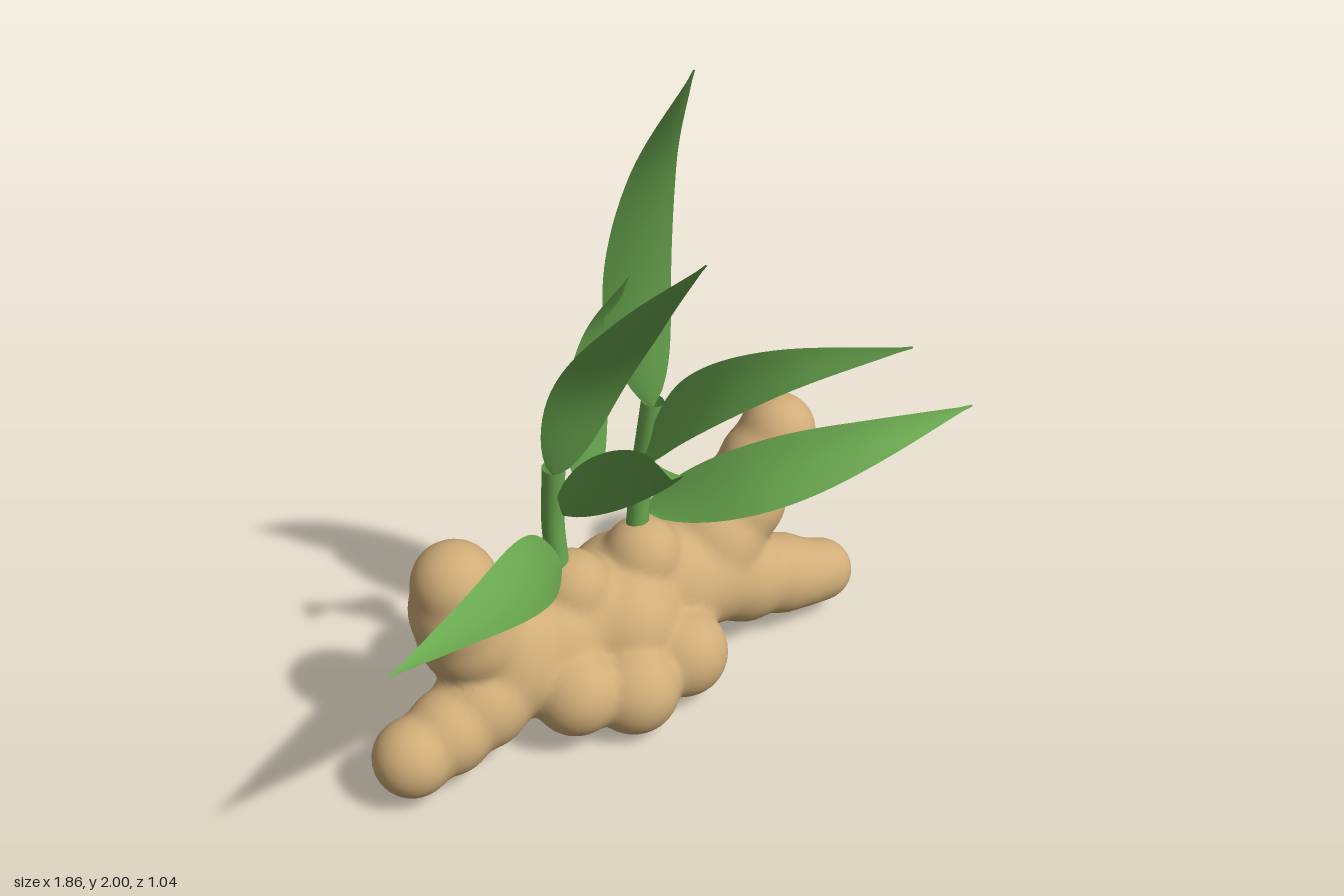
import * as THREE from 'three';

const V = (p) => new THREE.Vector3(...p);

// Root knobs, finger by finger: [x, y, z, radius]
const KNOBS = [
  // body
  [-0.22, 0.24, -0.3, 0.18], [-0.08, 0.25, -0.31, 0.18], [0.07, 0.25, -0.33, 0.185],
  [0.21, 0.25, -0.31, 0.18], [0.31, 0.24, -0.28, 0.15], [0, 0.24, -0.24, 0.165],
  // front knobs
  [-0.23, 0.17, -0.14, 0.125], [-0.07, 0.133, -0.09, 0.13], [0.12, 0.15, -0.12, 0.13],
  // lower right finger
  [-0.71, 0.135, -0.21, 0.11], [-0.59, 0.155, -0.22, 0.12], [-0.47, 0.19, -0.24, 0.135], [-0.35, 0.24, -0.28, 0.16],
  // lower left finger
  [0.685, 0.14, -0.19, 0.093], [0.62, 0.15, -0.2, 0.1], [0.55, 0.17, -0.22, 0.12], [0.43, 0.2, -0.25, 0.14],
  // upper right finger
  [-0.49, 0.565, -0.31, 0.117], [-0.48, 0.47, -0.31, 0.138], [-0.45, 0.38, -0.31, 0.15], [-0.36, 0.3, -0.3, 0.155],
  // upper left finger
  [0.61, 0.605, -0.325, 0.11], [0.55, 0.52, -0.32, 0.125], [0.47, 0.42, -0.32, 0.137], [0.37, 0.33, -0.31, 0.15],
  // stem buds
  [-0.13, 0.385, -0.3, 0.11], [0.11, 0.395, -0.3, 0.11],
];

// Softly blended distance to the knobs; writes the outward normal
function rootDistance(p, normal) {
  const blend = 0.01;
  let sum = 0;
  normal.set(0, 0, 0);
  for (const [x, y, z, r] of KNOBS) {
    const dx = p.x - x, dy = p.y - y, dz = p.z - z;
    const len = Math.hypot(dx, dy, dz) + 1e-9;
    const w = Math.exp((r - len) / blend);
    sum += w;
    normal.x += (w * dx) / len;
    normal.y += (w * dy) / len;
    normal.z += (w * dz) / len;
  }
  normal.normalize();
  return -blend * Math.log(sum);
}

// One continuous skin around all knobs, built on a grid of cells
function rootGeometry() {
  const cell = 0.02, size = [86, 39, 34], origin = [-0.86, -0.04, -0.56];
  const step = [1, size[0], size[0] * size[1]], total = step[2] * size[2];
  const p = new THREE.Vector3(), n = new THREE.Vector3();
  const place = (id, shift) => p.set(
    origin[0] + (id % size[0] + shift) * cell,
    origin[1] + (Math.floor(id / step[1]) % size[1] + shift) * cell,
    origin[2] + (Math.floor(id / step[2]) + shift) * cell);
  const inside = new Uint8Array(total);
  for (let id = 0; id < total; id++) inside[id] = rootDistance(place(id, 0), n) < 0 ? 1 : 0;

  const pos = [], nor = [], index = [], seen = new Map();
  // Vertex of a cell: its centre pulled onto the surface
  const vertex = (id) => {
    if (!seen.has(id)) {
      place(id, 0.5);
      for (let i = 0; i < 3; i++) p.addScaledVector(n, -rootDistance(p, n));
      seen.set(id, pos.length / 3);
      pos.push(p.x, p.y, p.z);
      nor.push(n.x, n.y, n.z);
    }
    return seen.get(id);
  };
  for (let id = 0; id < total; id++) {
    for (let a = 0; a < 3; a++) {
      const next = id + step[a];
      if (next >= total || inside[id] === inside[next]) continue;
      const u = step[(a + 1) % 3], v = step[(a + 2) % 3];
      const q = [id - u - v, id - v, id, id - u].map(vertex);
      if (!inside[id]) q.reverse();
      index.push(q[0], q[1], q[2], q[0], q[2], q[3]);
    }
  }
  const g = new THREE.BufferGeometry();
  g.setAttribute('position', new THREE.Float32BufferAttribute(pos, 3));
  g.setAttribute('normal', new THREE.Float32BufferAttribute(nor, 3));
  g.setIndex(index);
  return g;
}

// Curved lanceolate blade: follows a path, widens along `side`, slightly cupped
function leafGeometry(path, side, halfWidth) {
  const curve = new THREE.CatmullRomCurve3(path.map(V));
  const rows = 28, cols = 6, pos = [], index = [];
  for (let i = 0; i <= rows; i++) {
    const t = i / rows;
    const p = curve.getPoint(t), tan = curve.getTangent(t);
    const w = V(side).addScaledVector(tan, -V(side).dot(tan)).normalize();
    const n = new THREE.Vector3().crossVectors(w, tan);
    const width = halfWidth * Math.max(Math.sin(Math.PI * Math.pow(t, 0.65)), 0.03);
    for (let j = 0; j <= cols; j++) {
      const s = (j / cols) * 2 - 1;
      const q = p.clone().addScaledVector(w, s * width).addScaledVector(n, -0.15 * width * (s * s - 0.3));
      pos.push(q.x, q.y, q.z);
      if (i < rows && j < cols) {
        const a = i * (cols + 1) + j, b = a + cols + 1;
        index.push(a, a + 1, b, a + 1, b + 1, b);
      }
    }
  }
  const g = new THREE.BufferGeometry();
  g.setAttribute('position', new THREE.Float32BufferAttribute(pos, 3));
  g.setIndex(index);
  g.computeVertexNormals();
  return g;
}

export function createModel() {
  const model = new THREE.Group();
  const rootTan = new THREE.MeshStandardMaterial({ color: 0xd0ad78 });
  rootTan.name = 'rootTan';
  const leafGreen = new THREE.MeshStandardMaterial({ color: 0x6aa84f, side: THREE.DoubleSide });
  leafGreen.name = 'leafGreen';
  const add = (name, geometry, material) => {
    const m = new THREE.Mesh(geometry, material);
    m.name = name;
    model.add(m);
  };

  add('root', rootGeometry(), rootTan);

  // Hollow stems
  const stems = {
    rightStem: [[-0.165, 0.46, -0.31], [-0.17, 0.62, -0.32], [-0.17, 0.81, -0.305]],
    leftStem: [[0.105, 0.47, -0.32], [0.125, 0.65, -0.32], [0.15, 0.9, -0.3]],
  };
  for (const [name, path] of Object.entries(stems)) {
    add(name, new THREE.TubeGeometry(new THREE.CatmullRomCurve3(path.map(V)), 16, 0.032, 16), leafGreen);
  }

  // Leaves: [name, path from base to tip, width direction, half width]
  const leaves = [
    ['lowRightLeaf', [[-0.16, 0.5, -0.3], [-0.36, 0.675, -0.1], [-0.6, 0.765, 0.05], [-0.93, 0.8, 0.16]], [0, 0.8, -0.55], 0.097],
    ['lowLeftLeaf', [[0.12, 0.54, -0.3], [0.35, 0.695, -0.07], [0.6, 0.775, 0.06], [0.93, 0.81, 0.13]], [0, 0.8, -0.55], 0.097],
    ['archedRightLeaf', [[-0.16, 0.65, -0.3], [-0.14, 0.9, -0.05], [-0.2, 1.13, 0.22], [-0.35, 1.31, 0.48]], [0.57, -0.45, 0.69], 0.093],
    ['archedLeftLeaf', [[0.12, 0.74, -0.3], [0.09, 1.03, -0.05], [0.16, 1.26, 0.23], [0.31, 1.43, 0.52]], [0.57, 0.45, -0.69], 0.097],
    ['uprightRightLeaf', [[-0.17, 0.78, -0.3], [-0.13, 1.09, -0.19], [-0.1, 1.38, 0.01], [-0.08, 1.65, 0.24]], [0.9, -0.25, 0.3], 0.094],
    ['tallLeaf', [[0.15, 0.88, -0.3], [0.1, 1.25, -0.29], [0.08, 1.65, -0.19], [0.06, 2, 0]], [0.95, 0.1, 0.2], 0.097],
    ['backLeaf', [[-0.02, 0.61, -0.355], [-0.01, 0.87, -0.38], [0.015, 1.15, -0.345], [0.03, 1.36, -0.23]], [1, 0, 0], 0.073],
  ];
  for (const [name, path, side, halfWidth] of leaves) {
    add(name, leafGeometry(path, side, halfWidth), leafGreen);
  }
  return model;
}
